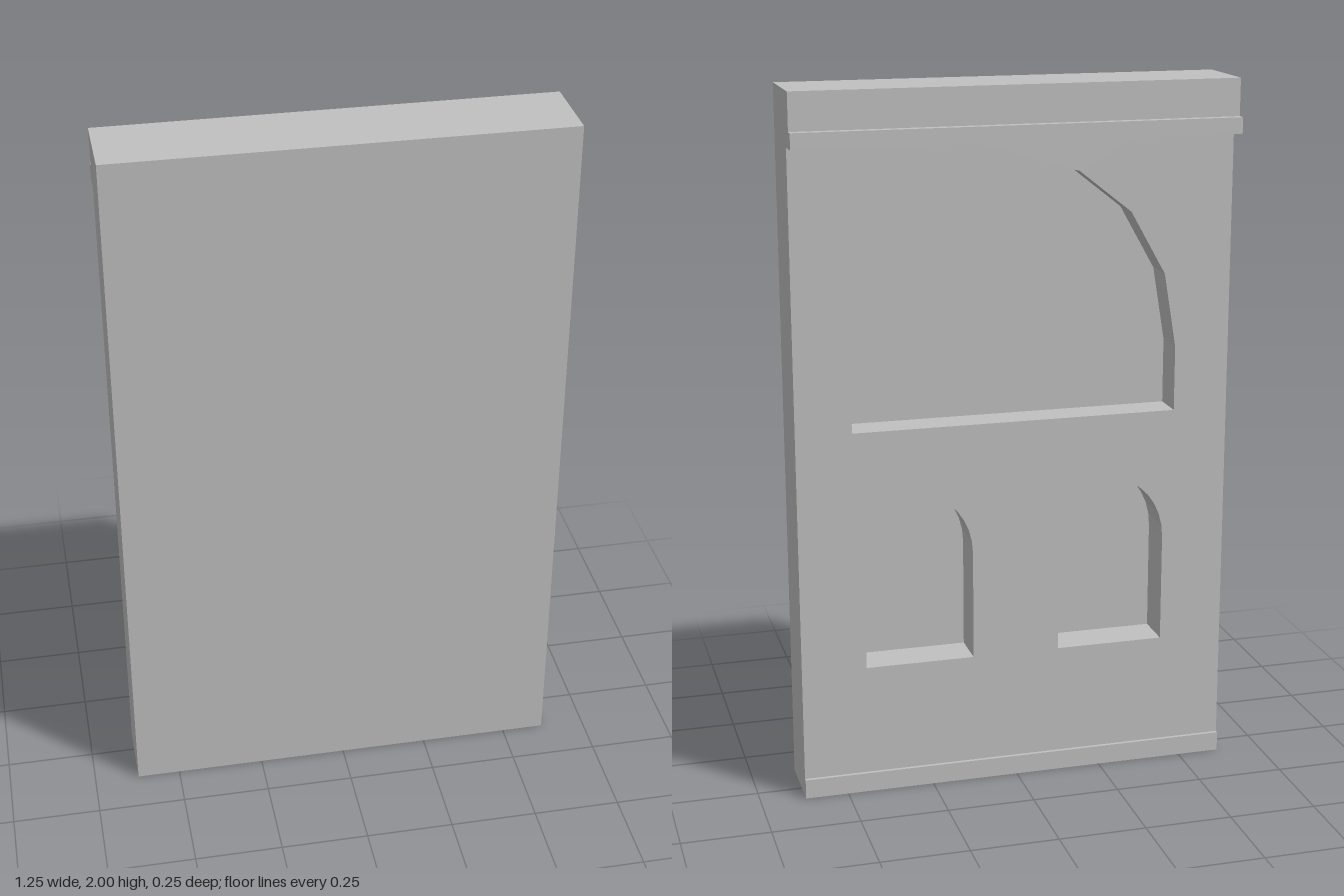
import * as THREE from 'three';

const WIDTH = 1.245;
const BACK = -0.06, FRONT = 0.125;

// Outline of a round-headed opening: straight jambs under a half ellipse
function archPoints(cx, sill, spring, halfWidth, rise, segments) {
  const pts = [new THREE.Vector2(cx - halfWidth, sill), new THREE.Vector2(cx + halfWidth, sill)];
  for (let i = 0; i <= segments; i++) {
    const a = (i / segments) * Math.PI;
    pts.push(new THREE.Vector2(cx + halfWidth * Math.cos(a), spring + rise * Math.sin(a)));
  }
  return pts;
}

export function createModel() {
  const model = new THREE.Group();
  model.name = 'arcadeWallPanel';
  const stone = new THREE.MeshStandardMaterial({ color: 0xc0c0c0 });
  stone.name = 'pale grey stone';

  const add = (name, geometry) => {
    const mesh = new THREE.Mesh(geometry, stone);
    mesh.name = name;
    model.add(mesh);
  };
  const box = (name, y0, y1, z0, z1) => {
    const g = new THREE.BoxGeometry(WIDTH, y1 - y0, z1 - z0);
    g.translate(0, (y0 + y1) / 2, (z0 + z1) / 2);
    add(name, g);
  };
  const extrude = (name, shape, z0, z1) => {
    const g = new THREE.ExtrudeGeometry(shape, { depth: z1 - z0, bevelEnabled: false });
    g.translate(0, 0, z0);
    add(name, g);
  };

  const bigArch = archPoints(0, 1.065, 1.25, 0.465, 0.55, 8);
  const smallArches = [-1, 1].map((s) => archPoints(s * 0.282, 0.375, 0.687, 0.156, 0.185, 16));

  // Solid slab behind the niches
  const nicheFloor = 0.055;
  box('wallSlab', 0, 2, nicheFloor, FRONT);

  // Wall face pierced by one large and two small arches
  const w = WIDTH / 2;
  const face = new THREE.Shape([[-w, 0], [w, 0], [w, 2], [-w, 2]].map(([x, y]) => new THREE.Vector2(x, y)));
  for (const pts of [bigArch, ...smallArches]) face.holes.push(new THREE.Path(pts));
  extrude('archedWallFace', face, BACK, nicheFloor);

  // The large niche is a little shallower
  extrude('largeNicheBack', new THREE.Shape(bigArch), 0.038, nicheFloor);

  // Mouldings across the wall
  box('baseCourse', 0, 0.056, -0.07, BACK);
  box('corniceLedge', 1.851, 1.896, -0.125, BACK);
  box('corniceBand', 1.896, 2, -0.1, BACK);

  return model;
}
